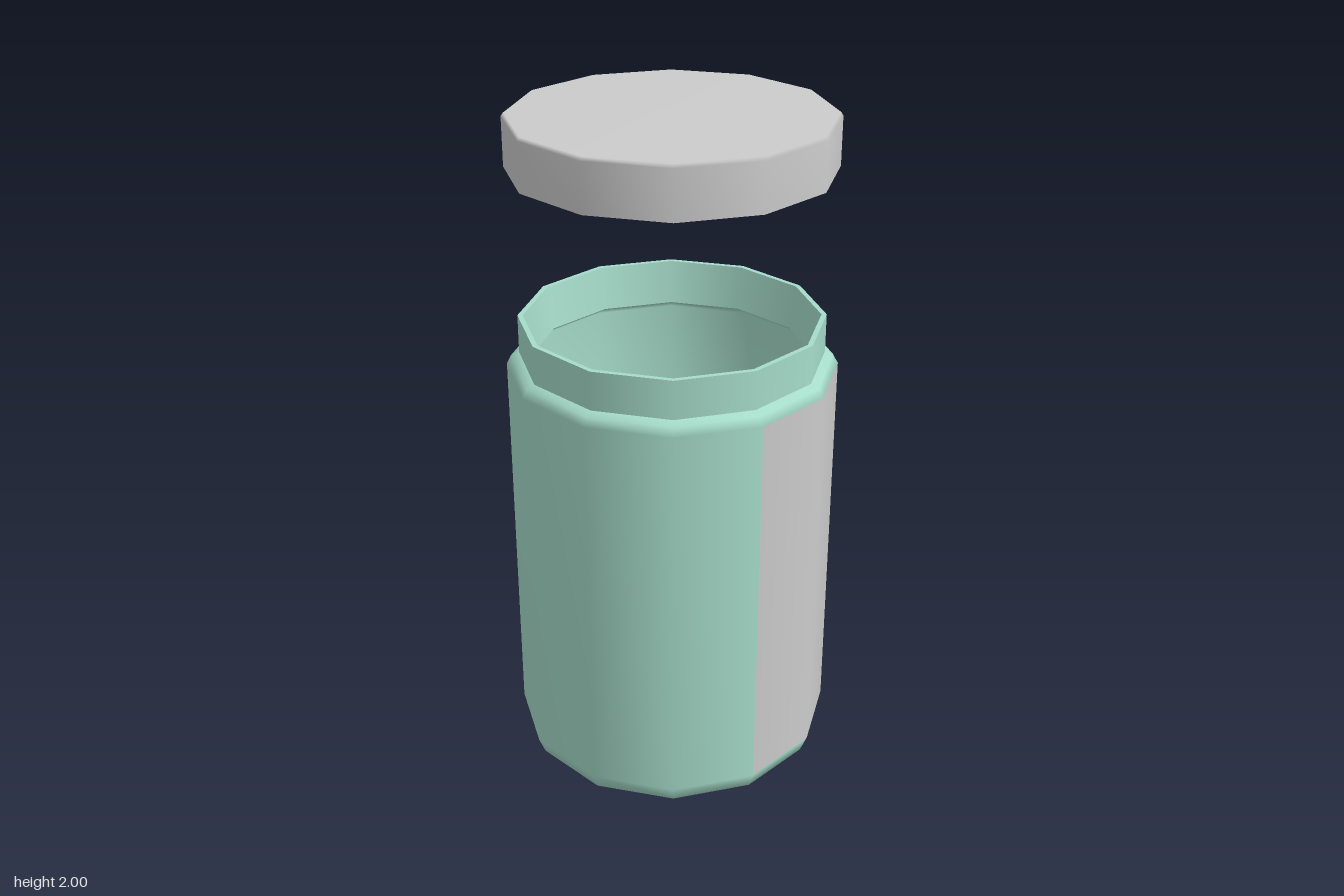
import * as THREE from 'three';

const SIDES = 12;
const green = new THREE.MeshStandardMaterial({ color: 0xa6dcca, side: THREE.DoubleSide });
const grey = new THREE.MeshStandardMaterial({ color: 0xcccccc, side: THREE.DoubleSide });

// Turns a [radius, height] profile around the y axis
function turned(name, profile, material, sides = SIDES, start = 0) {
  const points = profile.map(([r, y]) => new THREE.Vector2(r, y));
  const sweep = (sides / SIDES) * Math.PI * 2;
  const mesh = new THREE.Mesh(new THREE.LatheGeometry(points, sides, start, sweep), material);
  mesh.name = name;
  return mesh;
}

export function createModel() {
  const model = new THREE.Group();
  model.name = 'jarWithLid';

  // Jar: rounded body, neck, rim and hollow inside, split where the edges are sharp
  const jar = new THREE.Group();
  jar.name = 'jar';
  jar.add(
    turned('body', [
      [0, 0], [0.39, 0], [0.41, 0.003], [0.46, 0.03], [0.48, 0.08],
      [0.48, 1.26], [0.467, 1.285], [0.443, 1.295],
    ], green),
    turned('neck', [[0.443, 1.28], [0.443, 1.41]], green),
    turned('rim', [[0.443, 1.41], [0.428, 1.41]], green),
    turned('neckInside', [[0.428, 1.41], [0.41, 1.28]], green),
    turned('bodyInside', [[0.41, 1.28], [0.455, 1.25], [0.455, 0.04], [0, 0.03]], green),
  );

  // Label: wraps four of the twelve sides, facing +x
  const label = turned('label', [[0.482, 0.085], [0.482, 1.26]], grey, 4, Math.PI / 6);

  // Lid: thin open shell floating above the neck
  const lid = turned('lid', [[0.462, 1.85], [0.462, 1.99], [0.455, 2], [0, 2]], grey);

  model.add(jar, label, lid);
  return model;
}
